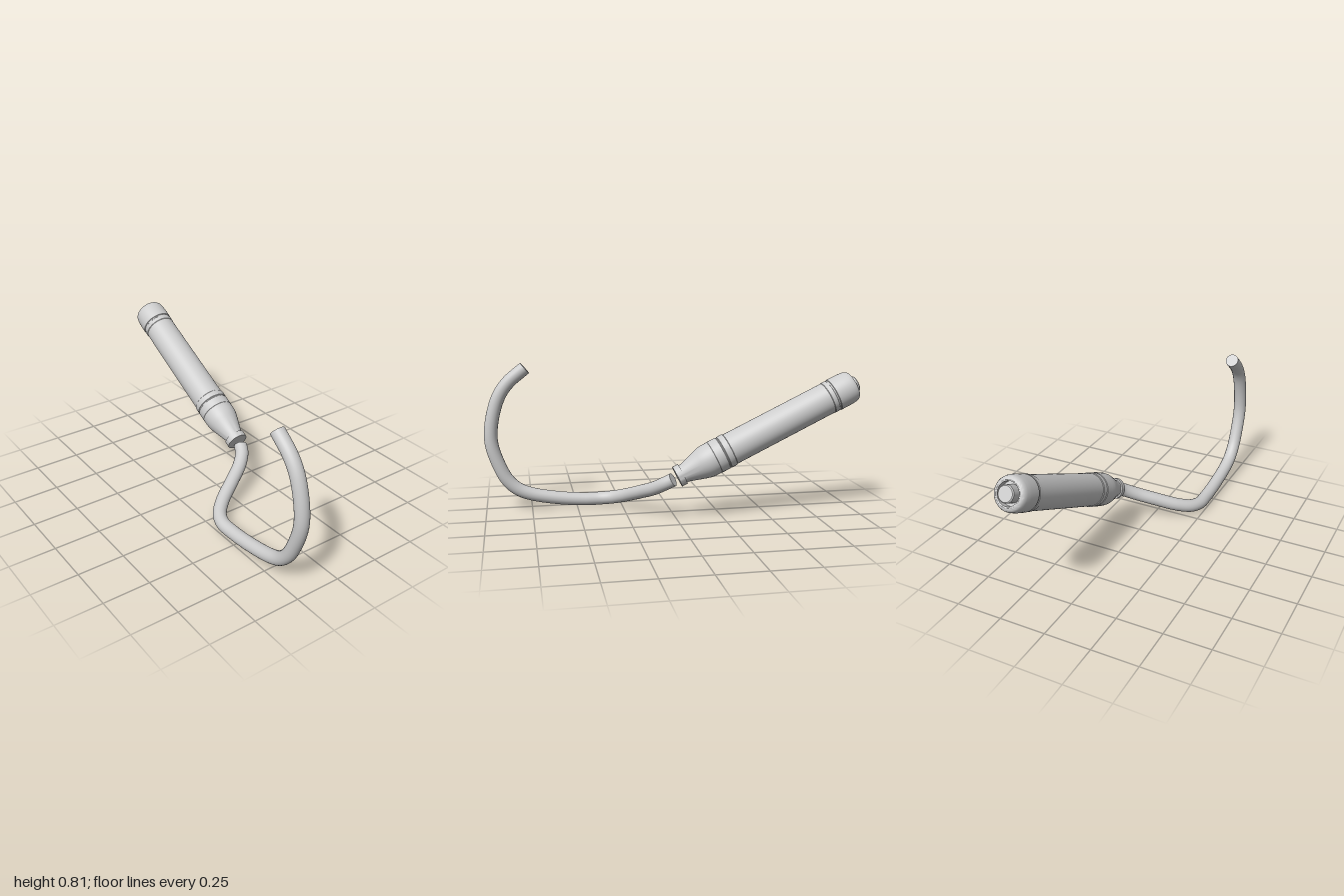
import * as THREE from 'three';
import { toCreasedNormals } from 'three/addons/utils/BufferGeometryUtils.js';

export function createModel() {
  const group = new THREE.Group();
  const grey = new THREE.MeshStandardMaterial({ color: 0xcccccc });
  grey.name = 'light grey';

  // Handle axis: local y runs from the rear face to the nozzle.
  const rear = new THREE.Vector3(-0.962, 0.702, -0.168);
  const nose = new THREE.Vector3(-0.003, 0.233, -0.146);
  const axis = nose.clone().sub(rear);
  const handle = new THREE.Group();
  handle.name = 'handle';
  handle.position.copy(rear);
  handle.quaternion.setFromUnitVectors(new THREE.Vector3(0, 1, 0), axis.clone().normalize());
  group.add(handle);

  // Turned part from [radius, distance along axis] pairs, rear to front.
  function turned(name, profile) {
    const points = profile.map(([r, t]) => new THREE.Vector2(r, t));
    const mesh = new THREE.Mesh(toCreasedNormals(new THREE.LatheGeometry(points, 48), 0.5), grey);
    mesh.name = name;
    handle.add(mesh);
  }

  turned('rearButton', [[0, -0.02], [0.038, -0.02], [0.043, -0.015], [0.043, 0.04]]);
  turned('rearCap', [
    [0, 0.035], [0.058, 0.035], [0.058, 0.002], [0.064, 0], [0.072, 0.002], [0.079, 0.008],
    [0.084, 0.017], [0.087, 0.03], [0.0895, 0.06], [0.0895, 0.12], [0.084, 0.124], [0, 0.124]
  ]);
  turned('rearRing', [[0, 0.118], [0.086, 0.118], [0.086, 0.13], [0.088, 0.132], [0.088, 0.156], [0.085, 0.16], [0, 0.16]]);
  turned('grip', [[0, 0.15], [0.086, 0.15], [0.087, 0.76], [0, 0.76]]);
  turned('rearCollar', [[0, 0.752], [0.088, 0.752], [0.091, 0.755], [0.091, 0.787], [0.088, 0.79], [0, 0.79]]);
  turned('frontCollar', [[0, 0.78], [0.088, 0.78], [0.088, 0.794], [0.091, 0.797], [0.091, 0.845], [0.088, 0.849], [0, 0.849]]);
  turned('taperedNose', [
    [0, 0.84], [0.09, 0.84], [0.09, 0.88], [0.087, 0.905], [0.081, 0.928],
    [0.052, 1.02], [0.05, 1.045], [0, 1.045]
  ]);
  turned('endFlange', [[0, 1.035], [0.058, 1.035], [0.058, axis.length()], [0, axis.length()]]);

  // Bent hook rod
  const path = new THREE.CatmullRomCurve3([
    [0.02, 0.219, -0.15], [0.06, 0.195, -0.13], [0.11, 0.158, -0.075], [0.165, 0.119, 0.016],
    [0.235, 0.073, 0.13], [0.295, 0.049, 0.19], [0.36, 0.039, 0.216], [0.45, 0.038, 0.219],
    [0.6, 0.052, 0.219], [0.76, 0.085, 0.219], [0.83, 0.118, 0.219], [0.885, 0.175, 0.219],
    [0.93, 0.27, 0.219], [0.957, 0.36, 0.219], [0.962, 0.43, 0.219], [0.945, 0.54, 0.219],
    [0.91, 0.64, 0.219], [0.86, 0.71, 0.219], [0.768, 0.787, 0.219]
  ].map(p => new THREE.Vector3(...p)), false, 'centripetal');
  const radius = 0.0365;
  const rod = new THREE.Mesh(new THREE.TubeGeometry(path, 160, radius, 28), grey);
  rod.name = 'hookRod';
  group.add(rod);

  // Flat ends of the rod
  for (const [u, sign] of [[0, -1], [1, 1]]) {
    const end = new THREE.Mesh(new THREE.CircleGeometry(radius, 28), grey);
    end.name = u ? 'rodTip' : 'rodRoot';
    end.position.copy(path.getPointAt(u));
    end.quaternion.setFromUnitVectors(new THREE.Vector3(0, 0, 1), path.getTangentAt(u).multiplyScalar(sign));
    group.add(end);
  }
  return group;
}
